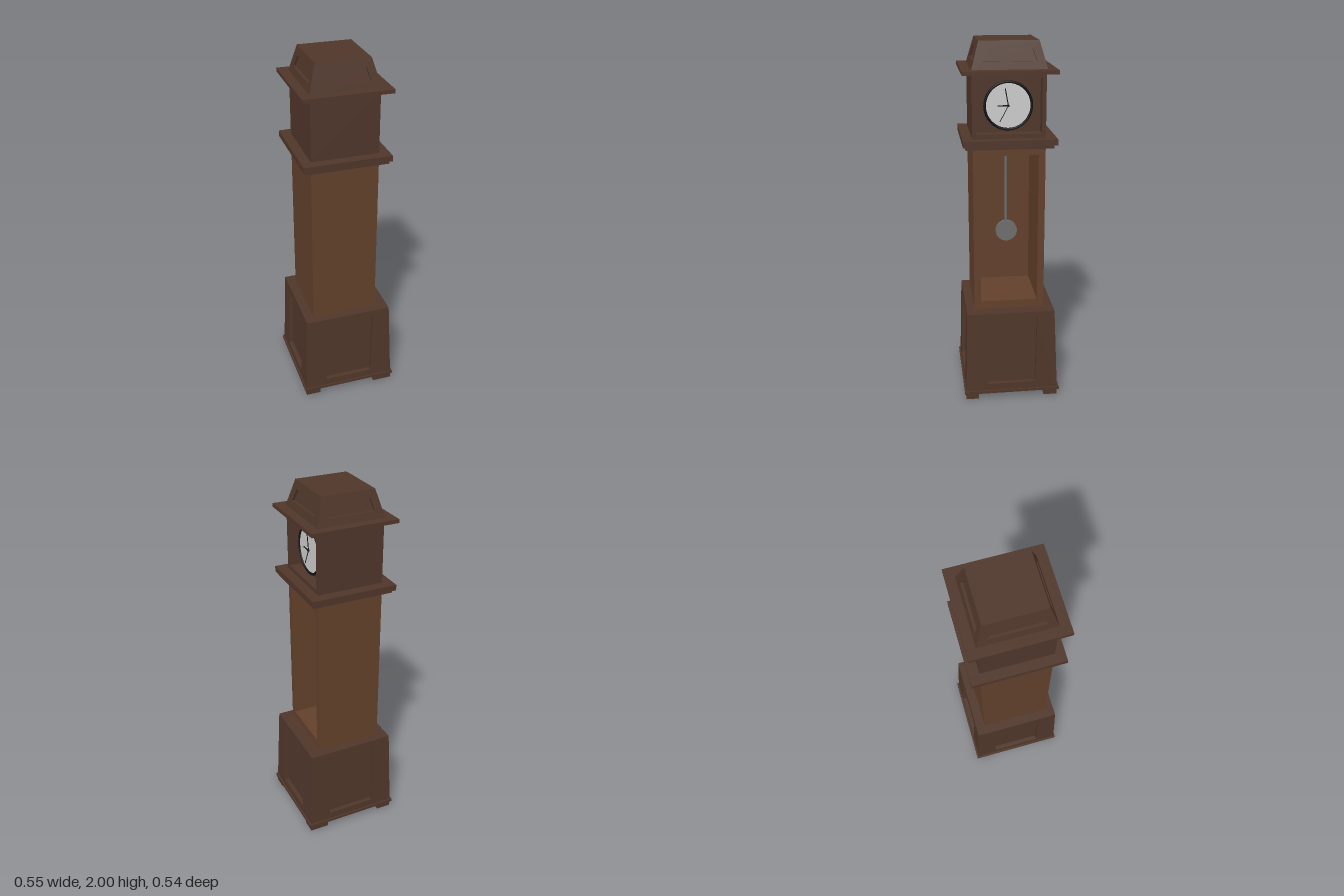
import * as THREE from 'three';

const mat = (color) => new THREE.MeshStandardMaterial({ color, flatShading: true });
const smooth = (color) => new THREE.MeshStandardMaterial({ color });
const wood = mat(0x4f362a);
const trunkWood = mat(0x62402b);
const dialWhite = smooth(0xe0e0e0);
const metal = smooth(0x6e6e6e);
const black = smooth(0x111111);

// Horizontal rectangle, corners counter-clockwise from above
const ring = (x0, x1, z0, z1, y) =>
  [[x0, z1], [x1, z1], [x1, z0], [x0, z0]].map(([x, z]) => new THREE.Vector3(x, y, z));
const INWARD = [[0, 0, -1], [-1, 0, 0], [0, 0, 1], [1, 0, 0]];

// Tapered block whose chosen sides (0 +z, 1 +x, 2 -z, 3 -x) carry a sunk panel.
// panel: v0, v1 heights, lower [u0, u1], upper [u0, u1], all as fractions of the side
function paneledBlock(low, high, panel, depth, sides) {
  const pos = [];
  const quad = (a, b, c, d) => [a, b, c, a, c, d].forEach((p) => pos.push(p.x, p.y, p.z));
  for (let i = 0; i < 4; i++) {
    const j = (i + 1) % 4;
    const face = [low[i], low[j], high[j], high[i]];
    if (!sides.includes(i)) { quad(...face); continue; }
    const at = (u, v) => face[0].clone().lerp(face[1], u).lerp(face[3].clone().lerp(face[2], u), v);
    const rim = [
      at(panel.lower[0], panel.v0), at(panel.lower[1], panel.v0),
      at(panel.upper[1], panel.v1), at(panel.upper[0], panel.v1),
    ];
    const sunk = rim.map((p) => p.clone().addScaledVector(new THREE.Vector3(...INWARD[i]), depth));
    for (let k = 0; k < 4; k++) {
      const n = (k + 1) % 4;
      quad(face[k], face[n], rim[n], rim[k]);
      quad(rim[k], rim[n], sunk[n], sunk[k]);
    }
    quad(...sunk);
  }
  quad(...high);
  quad(low[3], low[2], low[1], low[0]);
  const g = new THREE.BufferGeometry();
  g.setAttribute('position', new THREE.Float32BufferAttribute(pos, 3));
  g.computeVertexNormals();
  return g;
}

export function createModel() {
  const clock = new THREE.Group();
  clock.name = 'longcaseClock';
  const add = (name, geometry, material, parent = clock) => {
    const m = new THREE.Mesh(geometry, material);
    m.name = name;
    parent.add(m);
    return m;
  };
  const slab = (name, x0, x1, y0, y1, z0, z1) =>
    add(name, new THREE.BoxGeometry(x1 - x0, y1 - y0, z1 - z0), wood)
      .position.set((x0 + x1) / 2, (y0 + y1) / 2, (z0 + z1) / 2);

  // Feet and plinth
  for (const [x0, x1] of [[-0.265, -0.18], [0.155, 0.265]])
    for (const [z0, z1] of [[-0.262, -0.185], [0.19, 0.262]])
      slab('foot', x0, x1, 0, 0.036, z0, z1);
  slab('plinth', -0.275, 0.274, 0.035, 0.05, -0.272, 0.27);

  // Tapered base with a sunk panel on every side
  add('base', paneledBlock(
    ring(-0.266, 0.265, -0.262, 0.262, 0.036), ring(-0.25, 0.243, -0.243, 0.249, 0.52),
    { v0: 0.11, v1: 0.93, lower: [0.23, 0.76], upper: [0.195, 0.8] }, 0.025, [0, 1, 2, 3]), wood);

  // Hollow trunk, open towards the dial side
  add('trunk', paneledBlock(
    ring(-0.198, 0.172, -0.19, 0.201, 0.52), ring(-0.198, 0.172, -0.19, 0.201, 1.45),
    { v0: 0.05, v1: 0.95, lower: [0.095, 0.905], upper: [0.095, 0.905] }, 0.34, [1]), trunkWood);

  // Mouldings below and above the hood
  slab('lowerMoulding', -0.238, 0.215, 1.447, 1.466, -0.228, 0.24);
  slab('lowerCornice', -0.252, 0.228, 1.465, 1.497, -0.247, 0.254);
  slab('upperCornice', -0.252, 0.228, 1.836, 1.856, -0.247, 0.254);

  // Hood with recess for the dial
  add('hood', paneledBlock(
    ring(-0.198, 0.172, -0.19, 0.201, 1.496), ring(-0.198, 0.172, -0.19, 0.201, 1.837),
    { v0: 0.07, v1: 0.92, lower: [0.055, 0.945], upper: [0.055, 0.945] }, 0.06, [1]), wood);

  // Sloping crown with a sunk panel on every side
  add('crown', paneledBlock(
    ring(-0.2, 0.175, -0.196, 0.202, 1.855), ring(-0.16, 0.134, -0.155, 0.161, 2),
    { v0: 0.28, v1: 0.72, lower: [0.13, 0.88], upper: [0.16, 0.86] }, 0.014, [0, 1, 2, 3]), wood);

  // Dial, built facing +z and turned to +x
  const dial = new THREE.Group();
  dial.name = 'dial';
  dial.position.set(0.122, 1.664, 0.006);
  dial.rotation.y = Math.PI / 2;
  clock.add(dial);
  add('dialPlate', new THREE.CylinderGeometry(0.125, 0.125, 0.018, 48), dialWhite, dial).rotation.x = Math.PI / 2;
  add('dialRim', new THREE.TorusGeometry(0.125, 0.007, 10, 48), black, dial).position.z = 0.009;
  for (const [name, dx, dy, w] of [
    ['minuteHand', -0.016, 0.09, 0.005], ['hourHand', -0.058, 0, 0.006], ['secondHand', -0.045, -0.085, 0.003],
  ]) {
    const hand = add(name, new THREE.BoxGeometry(Math.hypot(dx, dy), w, 0.003), black, dial);
    hand.position.set(dx / 2, dy / 2, 0.013);
    hand.rotation.z = Math.atan2(dy, dx);
  }
  add('handPin', new THREE.CylinderGeometry(0.006, 0.006, 0.01, 16), black, dial)
    .rotation.x = Math.PI / 2;
  dial.children.at(-1).position.z = 0.013;

  // Pendulum hanging in the trunk
  const pendulum = new THREE.Group();
  pendulum.name = 'pendulum';
  pendulum.position.set(0.038, 0, 0.009);
  clock.add(pendulum);
  add('pendulumRod', new THREE.CylinderGeometry(0.007, 0.007, 0.46, 12), metal, pendulum).position.y = 1.175;
  const bob = add('pendulumBob', new THREE.CylinderGeometry(0.06, 0.06, 0.018, 40), metal, pendulum);
  bob.position.set(0, 0.94, -0.003);
  bob.rotation.z = Math.PI / 2;

  return clock;
}
